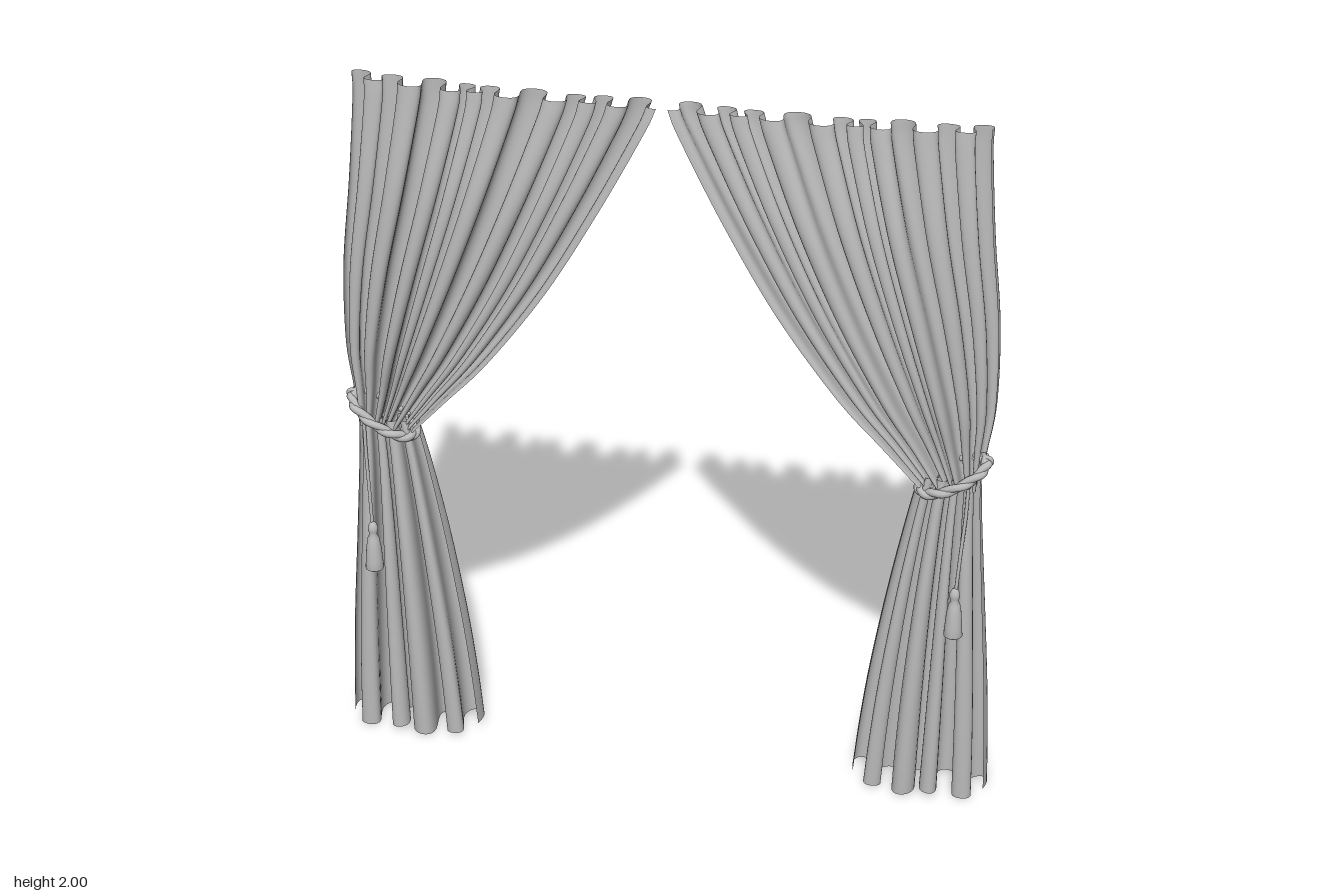
import * as THREE from 'three';

const fabric = new THREE.MeshStandardMaterial({ color: 0xbababa, side: THREE.DoubleSide });
fabric.name = 'grey fabric';

// Rows: y, inner edge x, outer edge x, centre z, fold depth, forward bow, backward lean at the outer edge
const UPPER = [
  [2.00, 0.015, 0.842, -0.010, 0.038, 0.010, 0.026],
  [1.93, 0.045, 0.842, -0.008, 0.042, 0.014, 0.024],
  [1.70, 0.165, 0.860, -0.004, 0.048, 0.036, 0.018],
  [1.45, 0.31, 0.886, -0.004, 0.048, 0.040, 0.014],
  [1.22, 0.475, 0.890, -0.006, 0.044, 0.028, 0.010],
  [1.08, 0.60, 0.873, -0.008, 0.036, 0.010, 0.004],
  [0.97, 0.70, 0.86, -0.008, 0.030, 0.004, 0],
];
const LOWER = [
  [1.00, 0.70, 0.86, -0.008, 0.030, 0.004, 0],
  [0.86, 0.670, 0.866, -0.010, 0.044, 0.004, 0],
  [0.62, 0.625, 0.882, -0.008, 0.062, 0.004, 0],
  [0.36, 0.584, 0.900, -0.004, 0.070, 0.002, 0],
  [0.16, 0.560, 0.910, -0.002, 0.074, 0, 0],
  [0.00, 0.546, 0.915, -0.002, 0.075, 0, 0],
];

// Smooth blend through the rows of a profile table
function sampleRows(rows, t) {
  const f = t * (rows.length - 1);
  const i = Math.min(Math.floor(f), rows.length - 2);
  const k = f - i;
  const at = j => rows[Math.max(0, Math.min(rows.length - 1, j))];
  return rows[i].map((b, c) => {
    const a = at(i - 1)[c], d = at(i + 1)[c], e = at(i + 2)[c];
    const m0 = i === 0 ? d - b : (d - a) / 2;
    const m1 = i === rows.length - 2 ? d - b : (e - b) / 2;
    const k2 = k * k, k3 = k2 * k;
    return (2 * k3 - 3 * k2 + 1) * b + (k3 - 2 * k2 + k) * m0 + (3 * k2 - 2 * k3) * d + (k3 - k2) * m1;
  });
}

// Pleated sheet: folds run down the cloth and curl over into rolls
function pleatedCloth(rows, { folds, start, curl, hem }, side) {
  const nu = Math.round(folds * 28), nv = 44;
  const pos = [], index = [];
  for (let j = 0; j <= nv; j++) {
    const v = j / nv;
    const [y, inner, outer, cz, depth, bow, lean] = sampleRows(rows, v);
    const width = outer - inner, pitch = width / folds;
    for (let i = 0; i <= nu; i++) {
      const u = i / nu;
      const wander = 0.03 * Math.sin(Math.PI * 5 * u + v * 0.8) * Math.sin(Math.PI * u);
      const p = u * folds * Math.PI * 2 + start;
      const uneven = 0.82 + 0.18 * Math.sin(u * 19 + 1.2 * v);
      const x = inner + width * (u + wander) - curl * pitch * Math.sin(2 * p);
      const z = cz + bow * Math.sin(Math.PI * u) - lean * u ** 3 + depth * uneven * Math.sin(p);
      const lift = hem * v ** 8 * (1 + Math.cos(u * 11));
      pos.push(side * x, y + lift, z);
    }
  }
  const w = nu + 1;
  for (let j = 0; j < nv; j++) {
    for (let i = 0; i < nu; i++) {
      const a = j * w + i, b = a + 1, c = a + w, d = c + 1;
      if (side > 0) index.push(a, c, b, b, c, d);
      else index.push(a, b, c, b, d, c);
    }
  }
  const g = new THREE.BufferGeometry();
  g.setAttribute('position', new THREE.Float32BufferAttribute(pos, 3));
  g.setIndex(index);
  g.computeVertexNormals();
  return g;
}

function part(group, name, geometry) {
  const mesh = new THREE.Mesh(geometry, fabric);
  mesh.name = name;
  group.add(mesh);
  return mesh;
}

// One strand of the softly twisted rope around the gathered waist
function ropeStrand(side, offset) {
  const pts = [];
  for (let i = 0; i < 96; i++) {
    const a = (i / 96) * Math.PI * 2;
    const twist = a * 5 + offset;
    const r = 0.005 * Math.cos(twist);
    const x = 0.788 + (0.088 + r) * Math.cos(a);
    const z = -0.006 + (0.039 + r) * Math.sin(a);
    const y = 1.005 + 0.045 * Math.cos(a) - 0.026 * Math.sin(a) + 0.005 * Math.sin(twist);
    pts.push(new THREE.Vector3(side * x, y, z));
  }
  return new THREE.TubeGeometry(new THREE.CatmullRomCurve3(pts, true), 192, 0.011, 8, true);
}

function curtain(side) {
  const g = new THREE.Group();
  g.name = side > 0 ? 'leftCurtain' : 'rightCurtain';
  part(g, 'upperDrape', pleatedCloth(UPPER, { folds: 8.75, start: Math.PI / 2, curl: 0.15, hem: 0 }, side));
  part(g, 'lowerDrape', pleatedCloth(LOWER, { folds: 4.5, start: Math.PI, curl: 0.19, hem: 0.008 }, side));

  // Tieback rope with a small loop on its outer end
  const tieback = new THREE.Group();
  tieback.name = 'tieback';
  for (const offset of [0, Math.PI]) part(tieback, 'ropeStrand', ropeStrand(side, offset));
  const loop = part(tieback, 'ropeEndLoop', new THREE.TorusGeometry(0.011, 0.006, 8, 16));
  loop.position.set(side * 0.878, 1.055, -0.012);
  g.add(tieback);

  // Hanging cord and tassel
  const tassel = new THREE.Group();
  tassel.name = 'tassel';
  const cord = new THREE.CatmullRomCurve3([
    [0.835, 0.99, 0.03], [0.832, 0.9, 0.035], [0.824, 0.78, 0.045], [0.818, 0.68, 0.053],
  ].map(([x, y, z]) => new THREE.Vector3(side * x, y, z)));
  part(tassel, 'cord', new THREE.TubeGeometry(cord, 24, 0.005, 8));
  const profile = [
    [0, 0.69], [0.008, 0.688], [0.014, 0.675], [0.014, 0.662], [0.010, 0.652], [0.016, 0.64],
    [0.021, 0.61], [0.024, 0.57], [0.026, 0.543], [0.022, 0.54], [0, 0.54],
  ].map(([r, y]) => new THREE.Vector2(r, y)).reverse();
  const skirt = part(tassel, 'tasselSkirt', new THREE.LatheGeometry(profile, 20));
  skirt.position.set(side * 0.816, 0, 0.055);
  g.add(tassel);
  return g;
}

export function createModel() {
  const model = new THREE.Group();
  model.name = 'curtains';
  for (const side of [1, -1]) model.add(curtain(side));
  return model;
}
